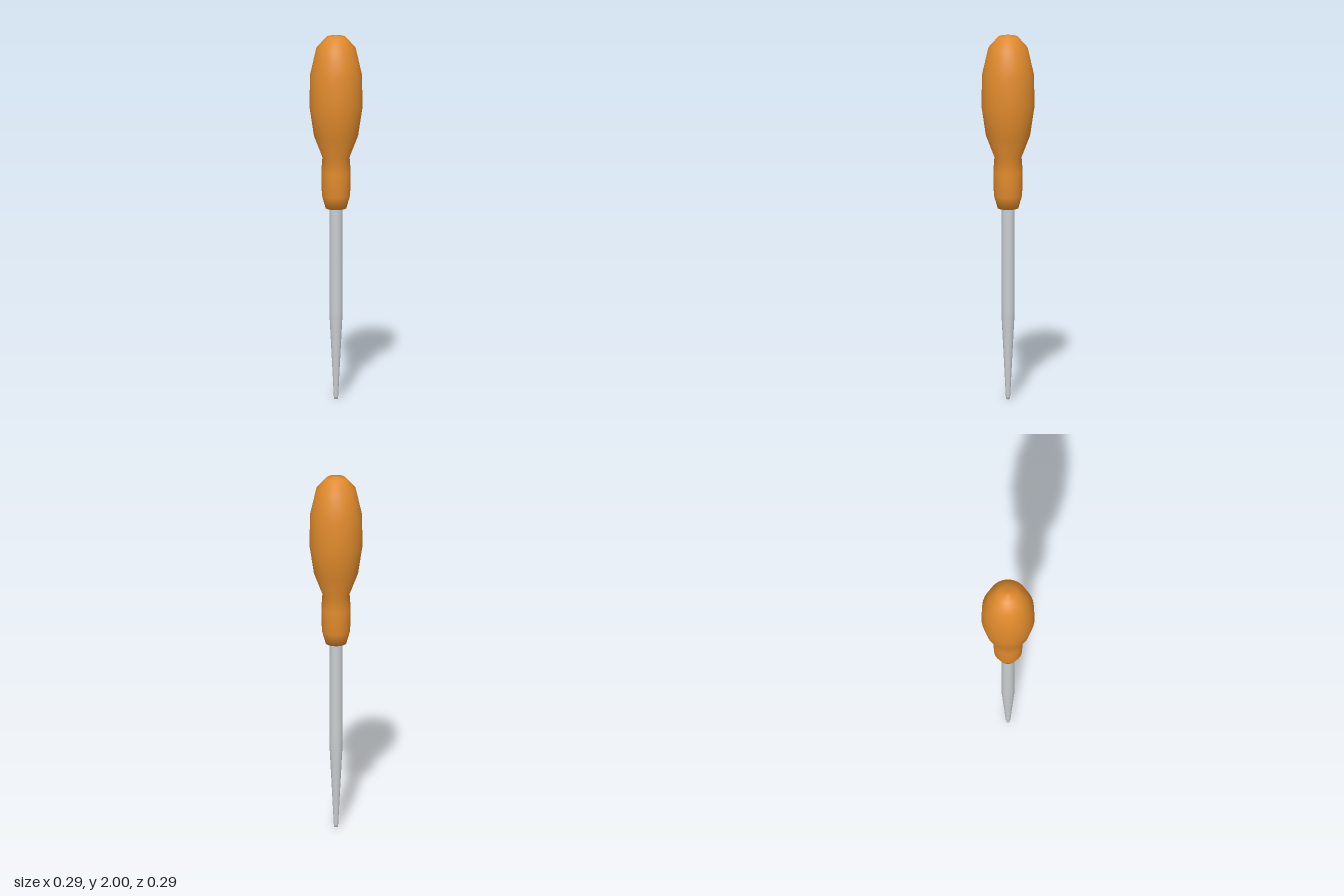
import * as THREE from 'three';

// Smooth turned solid from [radius, height] pairs, listed bottom to top
function turned(name, profile, material, sides) {
  const points = profile.map(([r, y]) => new THREE.Vector2(r, y));
  const mesh = new THREE.Mesh(new THREE.LatheGeometry(points, sides), material);
  mesh.name = name;
  return mesh;
}

export function createModel() {
  const wood = new THREE.MeshStandardMaterial({ color: 0xe08a2c });
  wood.name = 'orangeHandle';
  const steel = new THREE.MeshStandardMaterial({ color: 0xc8cdd0 });
  steel.name = 'steel';

  const group = new THREE.Group();
  group.name = 'awl';

  // Bulbous grip, narrow neck and collar
  group.add(turned('handle', [
    [0, 1.05], [0.056, 1.05], [0.076, 1.12], [0.079, 1.25], [0.073, 1.33],
    [0.119, 1.45], [0.143, 1.61], [0.139, 1.785], [0.106, 1.93],
    [0.053, 1.99], [0, 2.0],
  ], wood, 64));

  // Straight shaft tapering to a small blunt tip
  group.add(turned('shaft', [
    [0, 0], [0.009, 0], [0.012, 0.015], [0.034, 0.44], [0.035, 0.5], [0.035, 1.06],
  ], steel, 40));

  return group;
}
